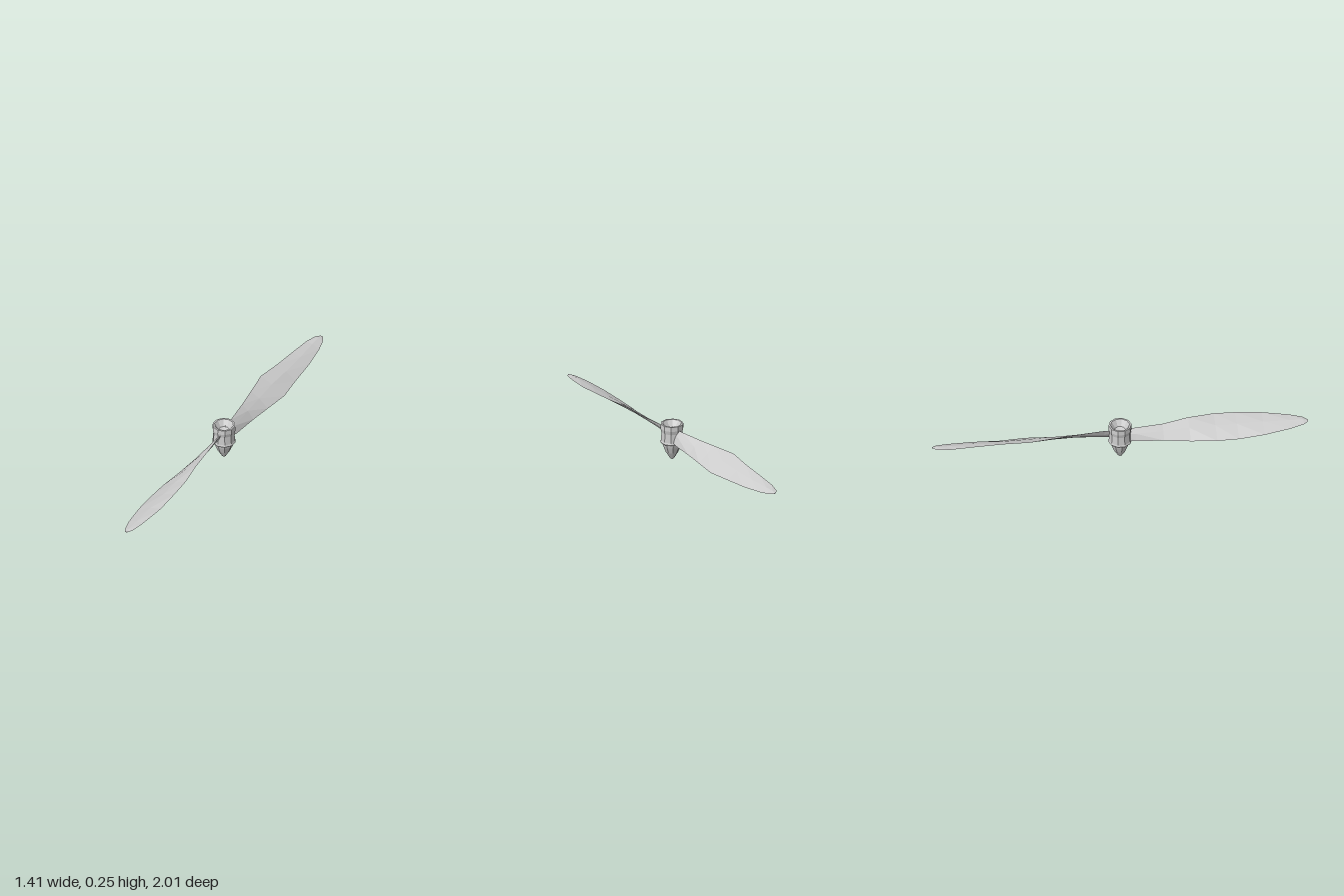
import * as THREE from 'three';

const material = new THREE.MeshStandardMaterial({
  color: 0xcccccc, flatShading: true, side: THREE.DoubleSide,
});

// Blade stations: [distance from hub, high edge offset, high edge y, low edge offset, low edge y]
const rearBlade = [
  [0.03, -0.012, 0.222, 0.022, 0.140],
  [0.10, -0.012, 0.225, 0.037, 0.140],
  [0.28, -0.034, 0.230, 0.052, 0.143],
  [0.43, -0.058, 0.234, 0.070, 0.145],
  [0.60, -0.085, 0.240, 0.090, 0.146],
  [0.77, -0.068, 0.232, 0.073, 0.154],
  [0.95, -0.060, 0.223, 0.065, 0.170],
  [1.11, -0.053, 0.213, 0.045, 0.186],
  [1.19, -0.036, 0.208, 0.026, 0.197],
  [1.22, -0.012, 0.206, 0.005, 0.203],
];
const frontBlade = [
  [0.03, -0.012, 0.210, 0.022, 0.138],
  [0.10, -0.014, 0.210, 0.034, 0.138],
  [0.28, -0.034, 0.207, 0.050, 0.135],
  [0.45, -0.060, 0.221, 0.068, 0.124],
  [0.62, -0.086, 0.215, 0.086, 0.122],
  [0.76, -0.090, 0.206, 0.088, 0.123],
  [0.93, -0.086, 0.190, 0.078, 0.132],
  [1.10, -0.060, 0.174, 0.052, 0.143],
  [1.19, -0.036, 0.163, 0.026, 0.149],
  [1.22, -0.012, 0.157, 0.005, 0.153],
];

// Twisted blade lofted from thin diamond sections, closed at both ends
function bladeGeometry(stations) {
  const positions = [], index = [], n = 4;
  stations.forEach(([s, highT, highY, lowT, lowY], i) => {
    const dt = lowT - highT, dy = lowY - highY, len = Math.hypot(dt, dy);
    const half = Math.min(0.008, len * 0.12);
    const midT = highT + dt * 0.45, midY = highY + dy * 0.45;
    const nt = (-dy / len) * half, ny = (dt / len) * half;
    const ring = [[highT, highY], [midT + nt, midY + ny], [lowT, lowY], [midT - nt, midY - ny]];
    // local x runs along the blade, local z across it
    for (const [t, y] of ring) positions.push(s, y, t);
    if (i === 0) return;
    for (let k = 0; k < n; k++) {
      const a = (i - 1) * n + k, b = (i - 1) * n + (k + 1) % n;
      index.push(a, b, b + n, a, b + n, a + n);
    }
  });
  const e = (stations.length - 1) * n;
  index.push(0, 2, 1, 0, 3, 2, e, e + 1, e + 2, e, e + 2, e + 3);
  const g = new THREE.BufferGeometry();
  g.setAttribute('position', new THREE.Float32BufferAttribute(positions, 3));
  g.setIndex(index);
  g.computeVertexNormals();
  return g;
}

function lathe(name, profile, sides) {
  const points = profile.map(([r, y]) => new THREE.Vector2(r, y));
  const mesh = new THREE.Mesh(new THREE.LatheGeometry(points, sides), material);
  mesh.name = name;
  return mesh;
}

export function createModel() {
  const propeller = new THREE.Group();
  propeller.name = 'propeller';

  // Pointed nose below the hub
  propeller.add(lathe('spinner', [
    [0, 0.003], [0.014, 0.014], [0.042, 0.06], [0.058, 0.1], [0.066, 0.128], [0, 0.128],
  ], 9));

  // Hub with a lower collar and a recessed top
  propeller.add(lathe('hub', [
    [0, 0.122], [0.07, 0.122], [0.077, 0.13], [0.073, 0.142], [0.07, 0.2], [0.076, 0.225],
    [0.074, 0.255], [0.062, 0.255], [0.035, 0.215], [0, 0.205],
  ], 10));

  // Two opposed blades on a diagonal axis
  const heading = Math.atan2(0.82, 0.573);
  [['rearBlade', rearBlade, 0], ['frontBlade', frontBlade, Math.PI]].forEach(([name, stations, turn]) => {
    const blade = new THREE.Mesh(bladeGeometry(stations), material);
    blade.name = name;
    blade.rotation.y = heading + turn;
    propeller.add(blade);
  });

  return propeller;
}
